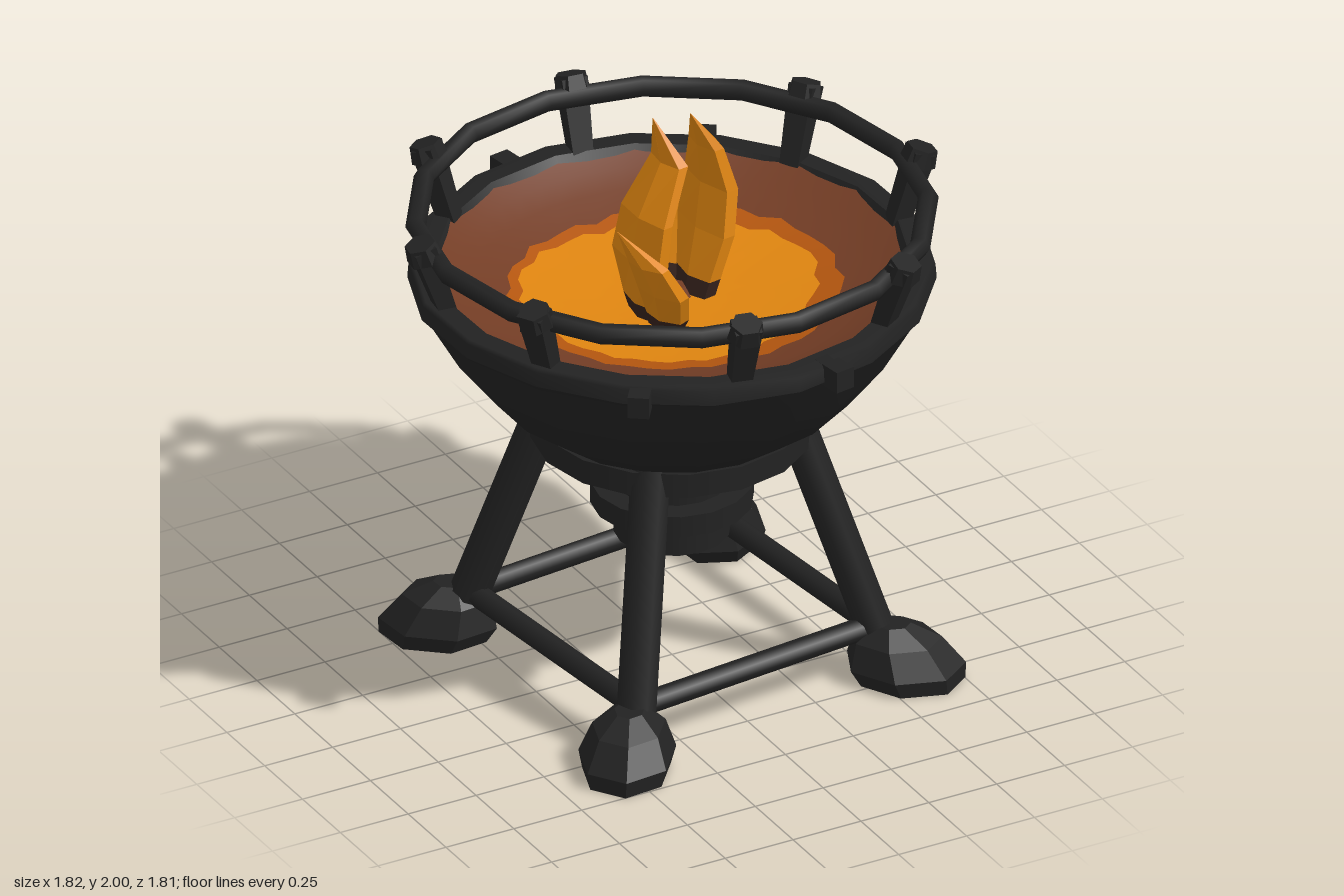
import * as THREE from 'three';

const mat = (name, color) => {
  const m = new THREE.MeshStandardMaterial({ color });
  m.name = name;
  return m;
};
const V = (x, y, z) => new THREE.Vector3(x, y, z);
const polar = (r, deg, y) => {
  const a = THREE.MathUtils.degToRad(deg);
  return V(r * Math.cos(a), y, r * Math.sin(a));
};

// flat-faced copy of a geometry
function flat(geo) {
  const g = geo.toNonIndexed();
  g.computeVertexNormals();
  return g;
}

// move every vertex of a geometry by a rule
function reshape(geo, rule) {
  const p = geo.attributes.position;
  for (let i = 0; i < p.count; i++) p.setXYZ(i, ...rule(p.getX(i), p.getY(i), p.getZ(i)));
  return geo;
}

// skin joining a list of closed rings of points
function loft(rings) {
  const n = rings[0].length, pos = [], idx = [];
  rings.forEach((ring) => ring.forEach((p) => pos.push(p.x, p.y, p.z)));
  for (let i = 0; i < rings.length - 1; i++) {
    for (let j = 0; j < n; j++) {
      const a = i * n + j, b = i * n + ((j + 1) % n);
      idx.push(a, a + n, b, b, a + n, b + n);
    }
  }
  const g = new THREE.BufferGeometry();
  g.setAttribute('position', new THREE.Float32BufferAttribute(pos, 3));
  g.setIndex(idx);
  g.computeVertexNormals();
  return g;
}

export function createModel() {
  const iron = mat('black iron', 0x222222);
  const clay = mat('scorched brown', 0x733d25);
  const ember = mat('ember orange', 0xb4560f);
  const fire = mat('fire orange', 0xdf8510);
  const char = mat('charred wood', 0x36221c);

  const model = new THREE.Group();
  const add = (name, geo, material, parent = model) => {
    const m = new THREE.Mesh(geo, material);
    m.name = name;
    parent.add(m);
    return m;
  };
  const group = (name) => {
    const g = new THREE.Group();
    g.name = name;
    model.add(g);
    return g;
  };
  const strut = (name, a, b, r, parent) => {
    const m = add(name, new THREE.CylinderGeometry(r, r, a.distanceTo(b), 8), iron, parent);
    m.position.copy(a).lerp(b, 0.5);
    m.quaternion.setFromUnitVectors(V(0, 1, 0), b.clone().sub(a).normalize());
  };
  const place = (m, r, deg, y, lean) => {
    m.position.copy(polar(r, deg, y));
    m.rotation.set(0, -THREE.MathUtils.degToRad(deg), -lean, 'YXZ');
  };

  // bowl shell with a thick, slightly wavy lip that tucks under the lining
  const bowlProfile = [[0, 0.92], [0.44, 0.92], [0.6, 1.04], [0.725, 1.2], [0.828, 1.38],
    [0.852, 1.4], [0.852, 1.4], [0.848, 1.45], [0.838, 1.462], [0.77, 1.462], [0.77, 1.462], [0.72, 1.38]];
  const bowl = new THREE.LatheGeometry(bowlProfile.map((p) => new THREE.Vector2(...p)), 18);
  add('bowl', reshape(bowl, (x, y, z) =>
    [x, y > 1.39 ? y + 0.006 * Math.sin(3 * Math.atan2(z, x)) : y, z]), iron);

  // bowl lining and the ragged patches of embers and fire
  const SEG = 48;
  const ring = (radii) => Array.from({ length: SEG }, (_, j) => {
    const t = (j / SEG) * radii.length, i = Math.floor(t);
    const a = radii[i], b = radii[(i + 1) % radii.length];
    const rag = radii.length > 1 ? 0.012 * Math.sin(j * 2.4) : 0;
    const r = a + (b - a) * (t - i) + rag;
    return polar(r, (j / SEG) * 360, 1.31 + 0.31 * r ** 3);
  });
  const emberEdge = ring([0.56, 0.54, 0.51, 0.53, 0.53, 0.53, 0.51, 0.55]);
  const fireEdge = ring([0.51, 0.43, 0.44, 0.45, 0.47, 0.5, 0.46, 0.48]);
  add('bowlLining', loft([ring([0.772]), ring([0.7]), ring([0.62]), emberEdge]), clay);
  add('emberRing', loft([emberEdge, fireEdge]), ember);
  add('fireBed', loft([fireEdge, ring([0.25]), ring([0.001])]), fire);

  // scorched lump in the middle of the fire
  add('coal', flat(new THREE.CylinderGeometry(0.04, 0.07, 0.06, 7)), clay).position.set(0.02, 1.32, -0.03);

  // flames: each section is x, y, z, half thickness, half width
  const flames = group('flames');
  const flame = (name, turn, sections) => {
    const rings = sections.map(([x, y, z, t, w]) => Array.from({ length: 6 }, (_, j) => {
      const p = polar(1, j * 60, 0);
      return V(p.x * t, 0, p.z * w).applyAxisAngle(V(0, 1, 0), turn).add(V(x, y, z));
    }));
    add(name + 'Base', flat(loft(rings.slice(0, 2))), char, flames);
    add(name, flat(loft(rings.slice(1))), fire, flames);
  };
  flame('tallFlameLeft', 0.15, [[-0.1, 1.29, 0.03, 0.045, 0.08], [-0.12, 1.37, 0.04, 0.045, 0.1],
    [-0.14, 1.53, 0.04, 0.04, 0.14], [-0.115, 1.68, 0.04, 0.035, 0.13],
    [-0.02, 1.85, 0.02, 0.037, 0.085], [-0.065, 2.0, -0.01, 0.001, 0.001]]);
  flame('tallFlameRight', 0.15, [[0.1, 1.29, -0.03, 0.045, 0.08], [0.12, 1.37, -0.04, 0.045, 0.1],
    [0.165, 1.52, -0.07, 0.045, 0.14], [0.195, 1.67, -0.09, 0.045, 0.13],
    [0.165, 1.82, -0.07, 0.037, 0.08], [0.09, 1.96, -0.04, 0.001, 0.001]]);
  flame('smallFlameLeft', 0.4, [[-0.09, 1.29, 0.12, 0.04, 0.06], [-0.11, 1.37, 0.17, 0.045, 0.08],
    [-0.16, 1.5, 0.23, 0.045, 0.1], [-0.22, 1.62, 0.24, 0.035, 0.08],
    [-0.295, 1.73, 0.17, 0.001, 0.001]]);
  flame('smallFlameRight', 0.4, [[0.09, 1.29, -0.12, 0.04, 0.06], [0.11, 1.36, -0.17, 0.045, 0.08],
    [0.16, 1.48, -0.23, 0.045, 0.1], [0.21, 1.58, -0.24, 0.035, 0.08],
    [0.265, 1.69, -0.19, 0.001, 0.001]]);

  // guard rail on leaning, flared posts
  const guard = group('guardRail');
  const rail = add('rail', new THREE.TorusGeometry(0.83, 0.034, 6, 16), iron, guard);
  rail.rotation.x = Math.PI / 2;
  rail.position.y = 1.64;
  const postGeo = reshape(new THREE.BoxGeometry(0.075, 0.28, 0.09), (x, y, z) =>
    (y < 0 ? [x * 0.75, y, z * 0.75] : [x, y, z]));
  const capGeo = flat(new THREE.CylinderGeometry(0.052, 0.062, 0.06, 6));
  for (const deg of [7, 59, 103, 150, 188, 233, 277, 329]) {
    place(add('post', postGeo, iron, guard), 0.82, deg, 1.555, 0.33);
    place(add('postCap', capGeo, iron, guard), 0.86, deg, 1.67, 0.33);
  }

  // stubby pegs on the lip
  for (const deg of [81, 126, 261, 306]) {
    place(add('peg', new THREE.BoxGeometry(0.12, 0.075, 0.07), iron), 0.845, deg, 1.42, 0);
  }

  // plate under the bowl, and the stacked discs below it
  const disc = (name, r, y0, y1) => {
    add(name, new THREE.CylinderGeometry(r, r, y1 - y0, 16), iron).position.y = (y0 + y1) / 2;
  };
  disc('supportPlate', 0.46, 0.84, 0.925);
  disc('upperDisc', 0.19, 0.655, 0.75);
  disc('middleDisc', 0.265, 0.585, 0.66);
  disc('lowerDisc', 0.19, 0.475, 0.56);

  // splayed legs, pebble feet peaking inward, and the square of lower braces
  const footProfile = [[0, 0.005], [0.145, 0.005], [0.16, 0.06], [0.12, 0.15], [0.05, 0.2], [0, 0.2]]
    .map((p) => new THREE.Vector2(...p));
  const footGeo = flat(reshape(new THREE.LatheGeometry(footProfile, 7), (x, y, z) =>
    [x * 1.25 - y * 0.3, y, z]));
  const stand = group('stand');
  for (const deg of [39, 129, 219, 309]) {
    strut('leg', polar(0.695, deg, 0.08), polar(0.39, deg, 0.94), 0.066, stand);
    strut('brace', polar(0.66, deg, 0.18), polar(0.66, deg + 90, 0.18), 0.038, stand);
    place(add('foot', footGeo, iron, stand), 0.78, deg + 1, 0, 0);
  }
  return model;
}
